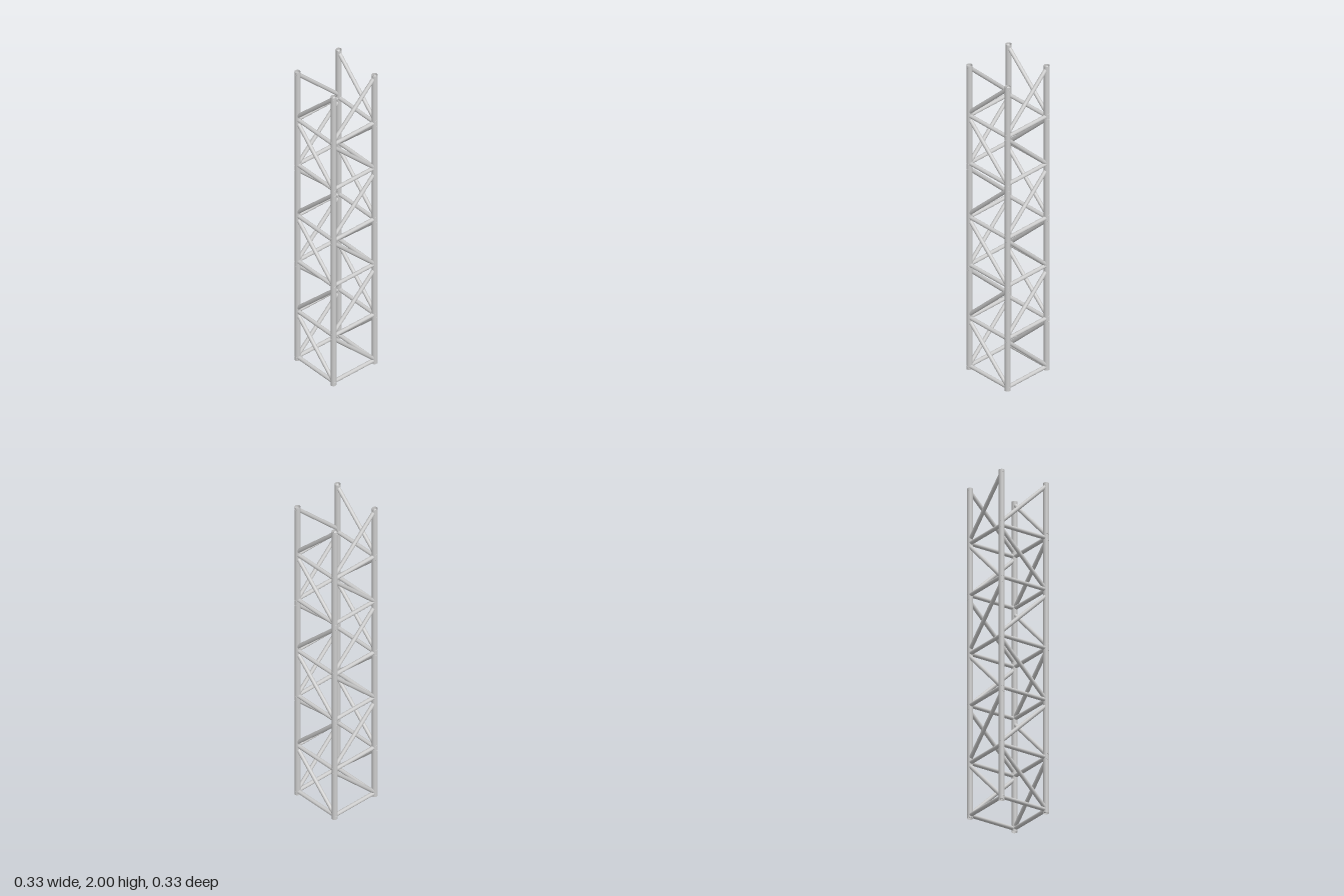
import * as THREE from 'three';

const HALF = 0.15;        // post axis distance from the centre
const REACH = 0.159;      // bars run on into the hollow posts
const POST_R = 0.0165;
const BAR_R = 0.0115;
const RINGS = [0.02, 0.338, 0.686, 1.0, 1.355, 1.668];    // horizontal bar heights
const BAYS = [0.172, 0.505, 0.835, 1.17, 1.502, 1.836];   // diagonal mid heights
const RISE = 0.156;       // half the height of a diagonal

const material = new THREE.MeshStandardMaterial({ color: 0xcccccc, side: THREE.DoubleSide });

// Round tube between two points, with or without end caps
function bar(name, a, b, radius, open = false) {
  const dir = b.clone().sub(a);
  const geometry = new THREE.CylinderGeometry(radius, radius, dir.length(), 16, 1, open);
  const mesh = new THREE.Mesh(geometry, material);
  mesh.position.copy(a).add(b).multiplyScalar(0.5);
  mesh.quaternion.setFromUnitVectors(new THREE.Vector3(0, 1, 0), dir.normalize());
  mesh.name = name;
  return mesh;
}

// One side of the tower: a hollow corner post, the horizontal bars and a zigzag of diagonals
function makeSide() {
  const side = new THREE.Group();
  const point = (x, y) => new THREE.Vector3(x, y, HALF);
  side.add(bar('cornerPost', point(HALF, 0), point(HALF, 2), POST_R, true));
  RINGS.forEach((y) => side.add(bar('horizontalBar', point(-REACH, y), point(REACH, y), BAR_R)));
  BAYS.forEach((y, i) => {
    const s = i % 2 ? 1 : -1; // alternate falling and rising
    side.add(bar('diagonalBrace', point(-REACH, y - s * RISE), point(REACH, y + s * RISE), BAR_R));
  });
  return side;
}

export function createModel() {
  const tower = new THREE.Group();
  tower.name = 'latticeTower';
  ['frontSide', 'leftSide', 'backSide', 'rightSide'].forEach((name, i) => {
    const side = makeSide();
    side.name = name;
    side.rotation.y = (i * Math.PI) / 2;
    tower.add(side);
  });
  return tower;
}
